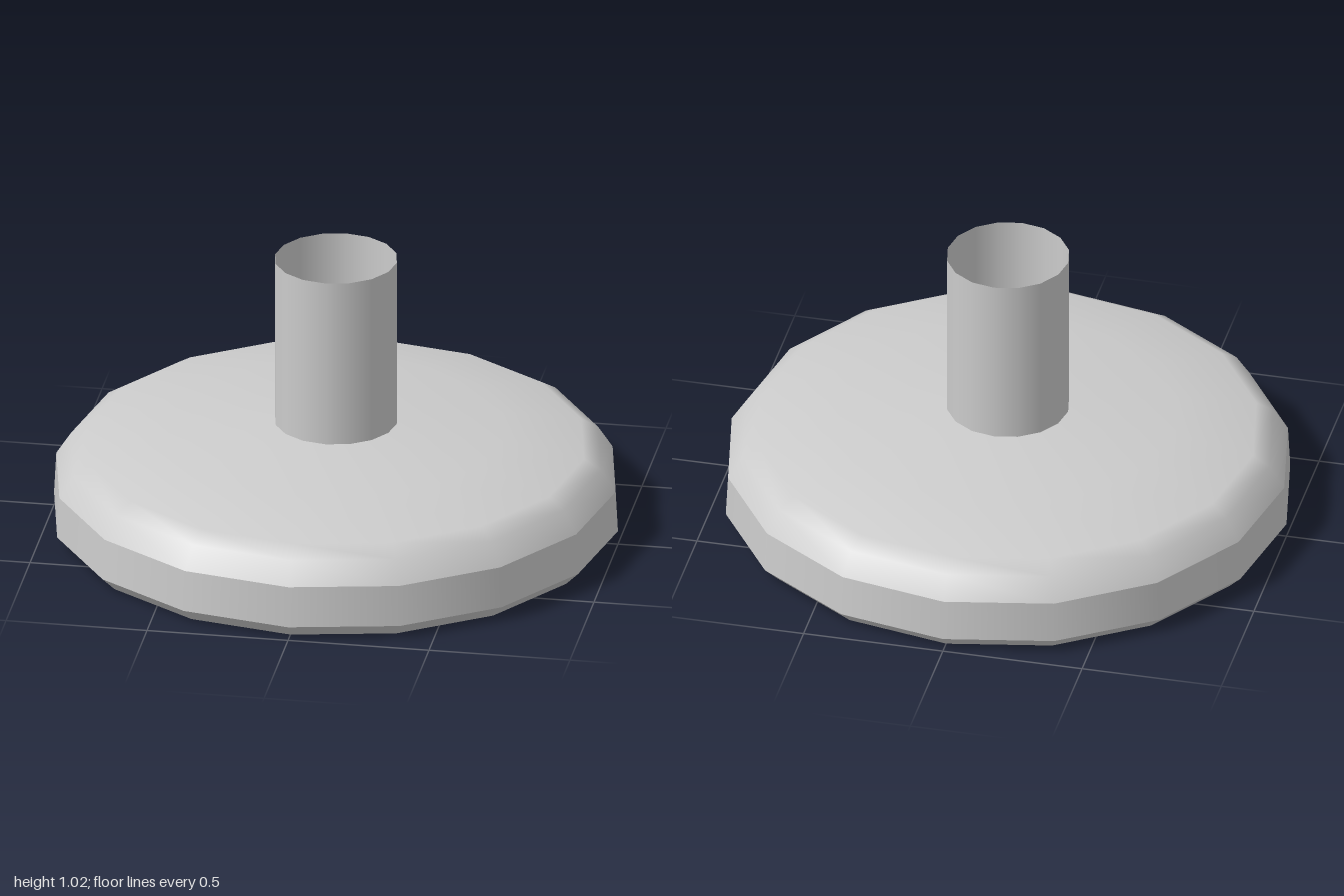
import * as THREE from 'three';

const SIDES = 16;
const material = new THREE.MeshStandardMaterial({ color: 0xcccccc, side: THREE.DoubleSide });

// Smooth band turned around the y axis; separate bands keep the creases sharp
function band(name, profile) {
  const points = profile.map(([r, y]) => new THREE.Vector2(r, y));
  const mesh = new THREE.Mesh(new THREE.LatheGeometry(points, SIDES), material);
  mesh.name = name;
  return mesh;
}

export function createModel() {
  const model = new THREE.Group();
  model.name = 'wheelWithStem';

  // Disc: hollowed underside, chamfer, side wall and domed top
  const disc = new THREE.Group();
  disc.name = 'disc';
  disc.add(
    band('underside', [[0, 0.1], [0.95, 0]]),
    band('lowerChamfer', [[0.95, 0], [1, 0.05]]),
    band('sideWall', [[1, 0.05], [0.992, 0.2]]),
    band('domedTop', [[0.992, 0.2], [0.94, 0.28], [0.88, 0.317], [0.6, 0.37], [0.22, 0.403], [0, 0.41]])
  );
  model.add(disc);

  // Open thin tube running through the disc
  const height = 1.02;
  const stem = new THREE.Mesh(new THREE.CylinderGeometry(0.216, 0.216, height, SIDES, 1, true), material);
  stem.name = 'stem';
  stem.position.y = height / 2;
  model.add(stem);

  return model;
}
